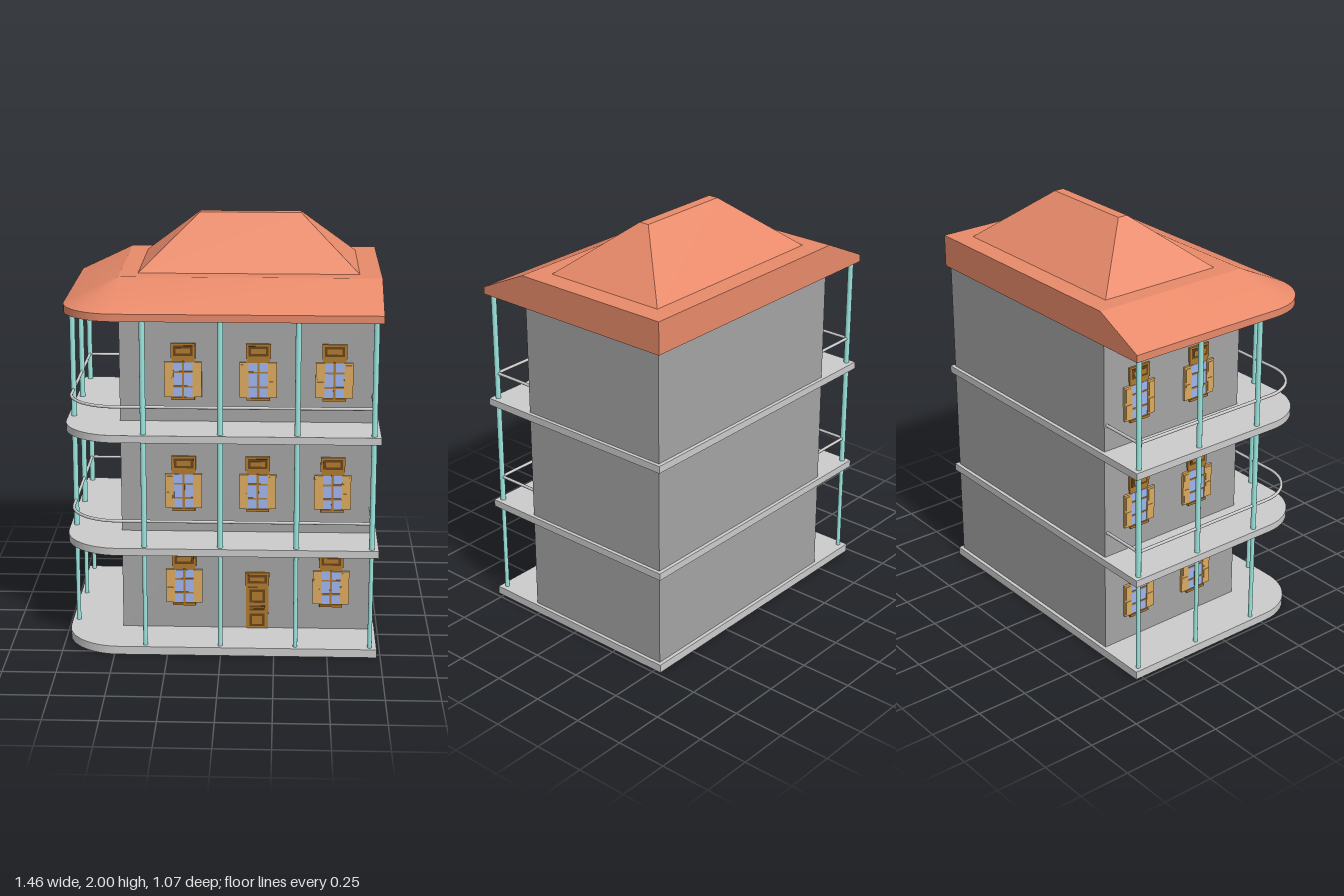
import * as THREE from 'three';
import { toCreasedNormals } from 'three/addons/utils/BufferGeometryUtils.js';

const mat = (color) => new THREE.MeshStandardMaterial({ color });
const M = {
  slab: mat(0xcccccc), wall: mat(0xa4a4a4), roof: mat(0xe88a6a), pillar: mat(0x9de8e0),
  shutter: mat(0xdcab60), wood: mat(0xb07a2e), dark: mat(0x69431a), glass: mat(0x9fb6f2),
};
const FLOORS = [0.04, 0.53, 1.075];
const CX = -0.48, CZ = 0.28; // wall corner, centre of the rounded veranda corner

function add(parent, name, geometry, material, x = 0, y = 0, z = 0) {
  const mesh = new THREE.Mesh(geometry, material);
  mesh.name = name;
  mesh.position.set(x, y, z);
  parent.add(mesh);
  return mesh;
}

// Box whose back lies at depth z0 and front at z1
function block(parent, name, material, w, y0, y1, z0, z1, x = 0) {
  return add(parent, name, new THREE.BoxGeometry(w, y1 - y0, z1 - z0), material, x, (y0 + y1) / 2, (z0 + z1) / 2);
}

// Capped solid through convex horizontal rings of [x, z] points
function loft(rings) {
  const pos = [];
  const tri = (...pts) => {
    const [a, b, c] = pts.map((p) => new THREE.Vector3(...p));
    if (b.clone().sub(a).cross(c.clone().sub(a)).length() > 1e-8) pos.push(...pts.flat());
  };
  const R = rings.map(({ y, pts }) => pts.map(([x, z]) => [x, y, z]));
  const n = R[0].length, top = R[R.length - 1];
  for (let k = 0; k < R.length - 1; k++) {
    for (let i = 0; i < n; i++) {
      const j = (i + 1) % n;
      tri(R[k][i], R[k][j], R[k + 1][j]);
      tri(R[k][i], R[k + 1][j], R[k + 1][i]);
    }
  }
  for (let i = 1; i < n - 1; i++) {
    tri(top[0], top[i], top[i + 1]);
    tri(R[0][0], R[0][i + 1], R[0][i]);
  }
  const g = new THREE.BufferGeometry();
  g.setAttribute('position', new THREE.Float32BufferAttribute(pos, 3));
  return toCreasedNormals(g, 0.35);
}

// Floor plan with one rounded corner
function plan() {
  const pts = [[0.732, 0.533], [0.732, -0.533], [-0.733, -0.533]];
  for (let i = 0; i <= 12; i++) {
    const a = (i / 12) * Math.PI / 2;
    pts.push([CX - 0.253 * Math.cos(a), CZ + 0.253 * Math.sin(a)]);
  }
  return pts;
}

const rect = (x0, x1, z0, z1) => [[x1, z1], [x1, z0], [x0, z0], [x0, z1]];

// Framed panel: dark border, lighter raised centre
function panel(parent, name, w, y0, y1, z) {
  block(parent, name + 'Border', M.dark, w, y0, y1, z, z + 0.002);
  block(parent, name + 'Centre', M.wood, w - 0.024, y0 + 0.012, y1 - 0.012, z, z + 0.004);
}

function headPanel(parent, y0, y1) {
  block(parent, 'headBoard', M.wood, 0.115, y0, y1, 0, 0.01);
  panel(parent, 'headPanel', 0.092, y0 + 0.012, y1 - 0.01, 0.01);
}

// Shuttered window, facing +z, measured from its floor
function makeWindow() {
  const g = new THREE.Group();
  g.name = 'window';
  headPanel(g, 0.305, 0.375);
  block(g, 'frame', M.wood, 0.108, 0.105, 0.305, 0, 0.006);
  block(g, 'glass', M.glass, 0.09, 0.12, 0.285, 0, 0.008);
  block(g, 'mullion', M.wood, 0.01, 0.115, 0.29, 0, 0.011);
  for (const y of [0.165, 0.235]) block(g, 'glazingBar', M.wood, 0.09, y, y + 0.008, 0, 0.011);
  block(g, 'sill', M.wood, 0.108, 0.105, 0.117, 0, 0.013);
  for (const s of [-1, 1]) {
    block(g, 'shutter', M.shutter, 0.042, 0.12, 0.287, 0, 0.012, s * 0.066);
    for (const y of [0.13, 0.21]) block(g, 'shutterPanel', M.shutter, 0.028, y, y + 0.067, 0, 0.014, s * 0.066);
  }
  return g;
}

function makeDoor() {
  const g = new THREE.Group();
  g.name = 'door';
  headPanel(g, 0.22, 0.285);
  block(g, 'doorFrame', M.wood, 0.108, 0, 0.22, 0, 0.006);
  block(g, 'doorLeaf', M.wood, 0.09, 0, 0.21, 0, 0.009);
  panel(g, 'upperPanel', 0.074, 0.132, 0.2, 0.009);
  for (const y of [0.092, 0.108]) block(g, 'slat', M.dark, 0.074, y, y + 0.009, 0.009, 0.011);
  panel(g, 'lowerPanel', 0.074, 0.012, 0.076, 0.009);
  return g;
}

// Handrail around the veranda at height y
function makeRail(y) {
  const g = new THREE.Group();
  g.name = 'handrail';
  const r = 0.0075;
  const bar = (x0, z0, x1, z1) => {
    const len = Math.hypot(x1 - x0, z1 - z0);
    const m = add(g, 'railBar', new THREE.CylinderGeometry(r, r, len, 8), M.slab, (x0 + x1) / 2, y, (z0 + z1) / 2);
    if (x0 !== x1) m.rotation.z = Math.PI / 2;
    else m.rotation.x = Math.PI / 2;
  };
  bar(0.7, CZ, 0.7, 0.505);
  bar(0.7, 0.505, CX, 0.505);
  bar(-0.705, CZ, -0.705, -0.5);
  bar(-0.705, -0.5, CX, -0.5);
  const arc = new THREE.TorusGeometry(0.225, r, 8, 16, Math.PI / 2);
  arc.rotateX(Math.PI / 2).rotateY(-Math.PI / 2);
  add(g, 'railCorner', arc, M.slab, CX, y, CZ);
  return g;
}

export function createModel() {
  const model = new THREE.Group();
  model.name = 'verandaHouse';

  // Walls
  block(model, 'walls', M.wall, 1.195, 0.02, 1.62, -0.515, CZ, 0.1175);

  // Floor slabs
  for (const [y0, y1] of [[0, 0.04], [0.495, 0.53], [1.04, 1.075]]) {
    add(model, 'floorSlab', loft([{ y: y0, pts: plan() }, { y: y1, pts: plan() }]), M.slab);
  }

  // Veranda roof: slopes up on two sides to the flat top over the walls
  const inner = plan().map(([x, z]) => [Math.max(x, CX), Math.min(z, CZ)]);
  add(model, 'verandaRoof', loft([
    { y: 1.605, pts: plan() }, { y: 1.64, pts: plan() }, { y: 1.76, pts: inner },
  ]), M.roof);
  // Hipped roof
  add(model, 'hipRoof', loft([
    { y: 1.755, pts: rect(-0.4, 0.637, -0.443, 0.197) },
    { y: 2, pts: rect(-0.12, 0.36, -0.147, -0.097) },
  ]), M.roof);

  // Pillars, slimmer on the ground floor
  const spots = [[-0.355, 0.505], [-0.003, 0.505], [0.35, 0.505], [0.7, 0.505],
    [-0.705, 0.2], [-0.705, -0.15], [-0.705, -0.5]];
  for (const [x, z] of spots) {
    for (const [y0, y1, r] of [[0.04, 0.495, 0.0105], [0.53, 1.04, 0.013], [1.075, 1.605, 0.013]]) {
      add(model, 'pillar', new THREE.CylinderGeometry(r, r, y1 - y0, 12), M.pillar, x, (y0 + y1) / 2, z);
    }
  }

  // Handrails
  for (const y of [0.655, 1.203]) model.add(makeRail(y));

  // Windows and door
  FLOORS.forEach((y, floor) => {
    [-0.183, 0.167, 0.52].forEach((x, i) => {
      const item = floor === 0 && i === 1 ? makeDoor() : makeWindow();
      item.position.set(x, item.name === 'window' && floor === 0 ? y + 0.01 : y, CZ);
      model.add(item);
    });
    for (const z of [-0.32, 0.03]) {
      const w = makeWindow();
      w.position.set(CX, floor === 0 ? y + 0.01 : y, z);
      w.rotation.y = -Math.PI / 2;
      model.add(w);
    }
  });
  return model;
}
